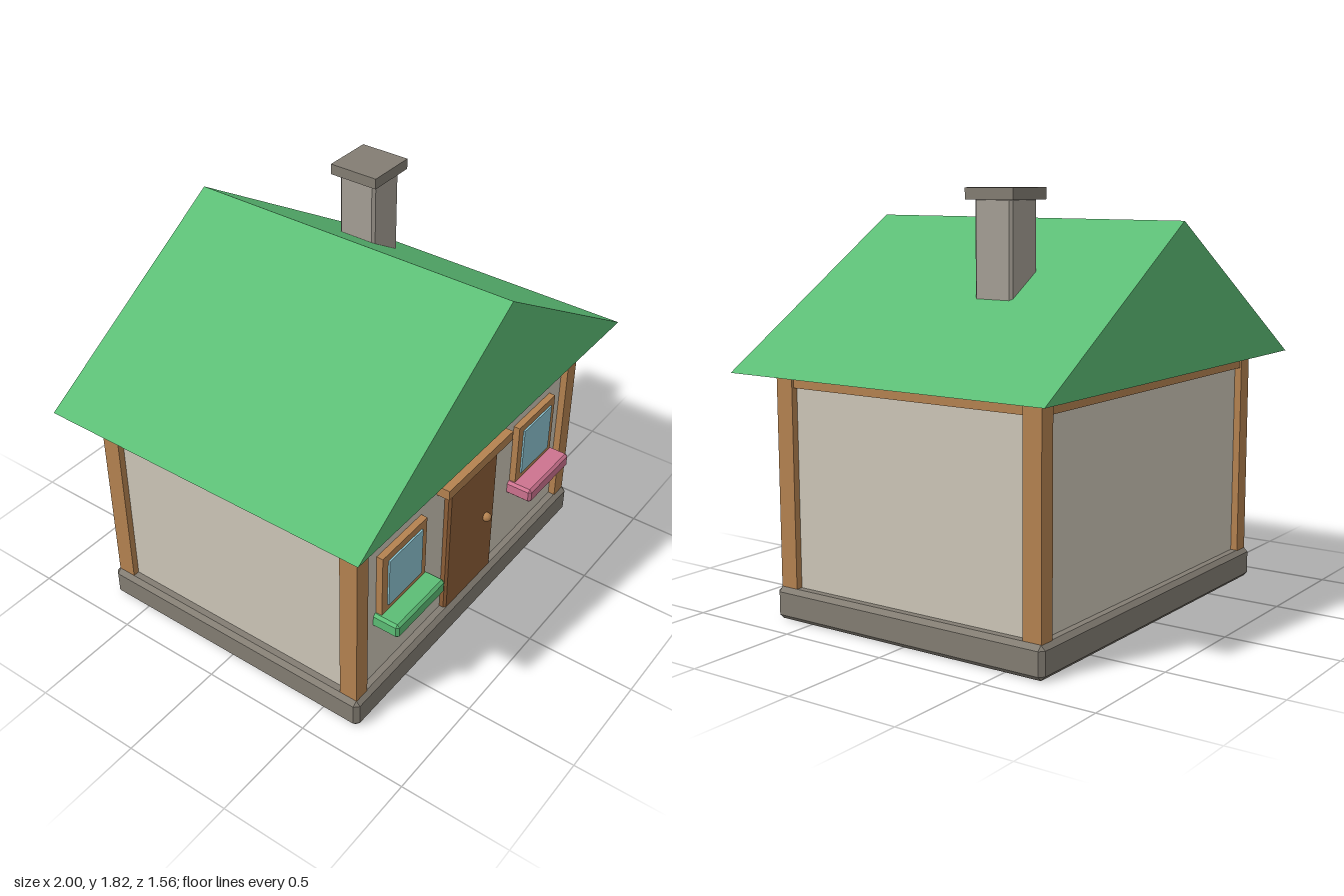
import * as THREE from 'three';
import { ConvexGeometry } from 'three/addons/geometries/ConvexGeometry.js';

const paint = (name, color) => Object.assign(new THREE.MeshStandardMaterial({ color }), { name });

// Box with every edge cut off at 45 degrees
function chamferedBox(w, h, d, c) {
  const points = [];
  for (const sx of [-1, 1]) for (const sy of [-1, 1]) for (const sz of [-1, 1]) {
    const [x, y, z] = [w / 2, h / 2, d / 2];
    points.push(
      new THREE.Vector3(sx * x, sy * (y - c), sz * (z - c)),
      new THREE.Vector3(sx * (x - c), sy * y, sz * (z - c)),
      new THREE.Vector3(sx * (x - c), sy * (y - c), sz * z));
  }
  return new ConvexGeometry(points);
}

export function createModel() {
  const house = new THREE.Group();
  house.name = 'cottage';

  const green = paint('leaf green', 0x5cbd75);
  const plaster = paint('plaster', 0xcdc6b8);
  const timber = paint('timber', 0xb48250);
  const doorWood = paint('door wood', 0x8d5e37);
  const stone = paint('dark stone', 0x837d73);
  const chimneyStone = paint('chimney stone', 0xa59f95);
  const glass = paint('window glass', 0x8cc3d0);
  const pink = paint('pink', 0xcd738f);

  function add(name, geometry, material, parent = house) {
    const mesh = new THREE.Mesh(geometry, material);
    mesh.name = name;
    parent.add(mesh);
    return mesh;
  }

  // Block given by its limits on each axis, with optional chamfer
  function block(name, material, [x0, x1], [y0, y1], [z0, z1], chamfer = 0, parent = house) {
    const size = [x1 - x0, y1 - y0, z1 - z0];
    const geometry = chamfer ? chamferedBox(...size, chamfer) : new THREE.BoxGeometry(...size);
    const mesh = add(name, geometry, material, parent);
    mesh.position.set((x0 + x1) / 2, (y0 + y1) / 2, (z0 + z1) / 2);
    return mesh;
  }

  // Foundation and walls
  block('foundation', stone, [-0.87, 0.87], [0, 0.14], [-0.685, 0.685], 0.02);
  block('walls', plaster, [-0.82, 0.82], [0.13, 1.066], [-0.635, 0.635]);

  // Corner posts and the beams between them
  for (const s of [-1, 1]) {
    for (const t of [-1, 1]) {
      const post = block('cornerPost', timber, [-0.0375, 0.0375], [0.12, 1.067], [-0.0425, 0.0425]);
      post.position.x = s * 0.8125;
      post.position.z = t * 0.6245;
    }
    const front = block('wallBeam', timber, [-0.78, 0.78], [1, 1.067], [-0.03, 0.03]);
    front.position.z = s * 0.63;
    const side = block('sideBeam', timber, [-0.03, 0.03], [1, 1.067], [-0.59, 0.59]);
    side.position.x = s * 0.81;
  }

  // Solid gabled roof
  const gable = new THREE.Shape([
    new THREE.Vector2(-1, 1.066), new THREE.Vector2(1, 1.066), new THREE.Vector2(0, 1.69)]);
  const roof = new THREE.ExtrudeGeometry(gable, { depth: 1.56, bevelEnabled: false });
  add('roof', roof.translate(0, 0, -0.78), green);

  // Chimney and its cap
  block('chimney', chimneyStone, [0.313, 0.497], [1.2, 1.785], [-0.282, -0.098], 0.012);
  block('chimneyCap', stone, [0.288, 0.522], [1.775, 1.823], [-0.307, -0.073]);

  // Door, knob and lintel
  block('door', doorWood, [-0.187, 0.187], [0.125, 0.815], [0.605, 0.665], 0.01);
  const knob = add('doorKnob', new THREE.SphereGeometry(0.022, 8, 6), timber);
  knob.position.set(0.11, 0.47, 0.675);
  block('doorLintel', timber, [-0.25, 0.25], [0.823, 0.87], [0.62, 0.695]);

  // Windows with flower boxes
  for (const [s, boxColor] of [[-1, green], [1, pink]]) {
    const win = new THREE.Group();
    win.name = s > 0 ? 'leftWindow' : 'rightWindow';
    win.position.x = s * 0.52;
    house.add(win);
    block('windowFrame', timber, [-0.156, 0.156], [0.48, 0.797], [0.62, 0.665], 0, win);
    block('windowPane', glass, [-0.118, 0.118], [0.525, 0.762], [0.664, 0.673], 0, win);
    block('flowerBox', boxColor, [-0.173, 0.173], [0.422, 0.492], [0.62, 0.757], 0.012, win);
  }

  return house;
}
